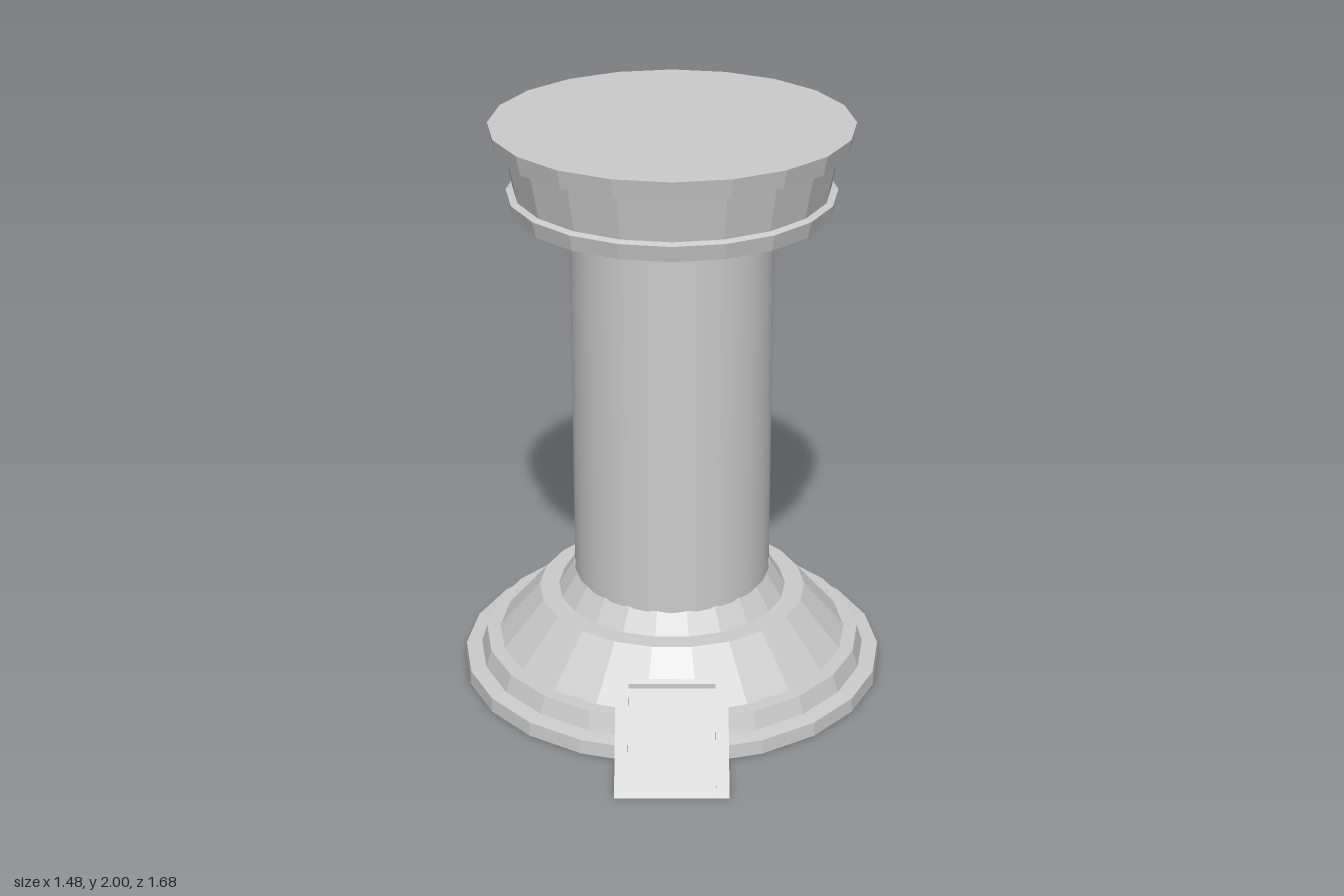
import * as THREE from 'three';

const flat = new THREE.MeshStandardMaterial({ color: 0xcccccc, flatShading: true });
const smooth = new THREE.MeshStandardMaterial({ color: 0xcccccc });

// Faceted turned part from [radius, height] pairs, listed bottom to top
function turned(name, profile, sides, phase, z) {
  const points = profile.map(([r, y]) => new THREE.Vector2(r, y));
  const mesh = new THREE.Mesh(new THREE.LatheGeometry(points, sides, phase), flat);
  mesh.name = name;
  mesh.position.z = z;
  return mesh;
}

// Prism with a [z, y] outline, running along x
function prism(name, outline, width, x = 0) {
  const shape = new THREE.Shape(outline.map(([z, y]) => new THREE.Vector2(z, y)));
  const geometry = new THREE.ExtrudeGeometry(shape, { depth: width, bevelEnabled: false });
  geometry.translate(0, 0, -width / 2);
  geometry.rotateY(-Math.PI / 2);
  const mesh = new THREE.Mesh(geometry, flat);
  mesh.name = name;
  mesh.position.x = x;
  return mesh;
}

export function createModel() {
  const model = new THREE.Group();
  model.name = 'tower';

  // Stepped base with a sloping skirt
  model.add(turned('base', [
    [0, 0], [0.738, 0], [0.735, 0.05], [0.68, 0.058], [0.66, 0.12],
    [0.612, 0.122], [0.468, 0.29], [0.4, 0.292], [0.345, 0.38], [0, 0.38],
  ], 22, Math.PI / 22, -0.113));

  // Smooth round shaft
  const shaft = new THREE.Mesh(new THREE.CylinderGeometry(0.341, 0.341, 1.42, 48), smooth);
  shaft.name = 'shaft';
  shaft.position.set(0, 1.03, -0.1);
  model.add(shaft);

  // Flared capital: lower band, drum and overhanging rim
  model.add(turned('capital', [
    [0, 1.71], [0.538, 1.71], [0.55, 1.765], [0.527, 1.772],
    [0.556, 1.925], [0.592, 1.93], [0.605, 1.995], [0, 2],
  ], 20, 0, -0.102));

  // Sloping entry hatch with a framed, recessed panel
  const hatch = new THREE.Group();
  hatch.name = 'hatch';
  const back = 0.48, front = 0.835, height = 0.24;
  const slope = (z) => height * (front - z) / (front - back);
  for (const side of [-1, 1]) {
    hatch.add(prism('hatchSide', [[back, 0], [front, 0], [back, height]], 0.043, side * 0.1665));
  }
  hatch.add(prism('hatchPanel',
    [[back, 0], [0.805, 0], [0.805, 0.005], [back, slope(back) - 0.016]], 0.29));
  hatch.add(prism('hatchTopBar',
    [[back, 0], [0.495, 0], [0.495, slope(0.495)], [back, height]], 0.29));
  hatch.add(prism('hatchSill', [[0.805, 0], [front, 0], [0.805, slope(0.805)]], 0.29));
  model.add(hatch);

  return model;
}
